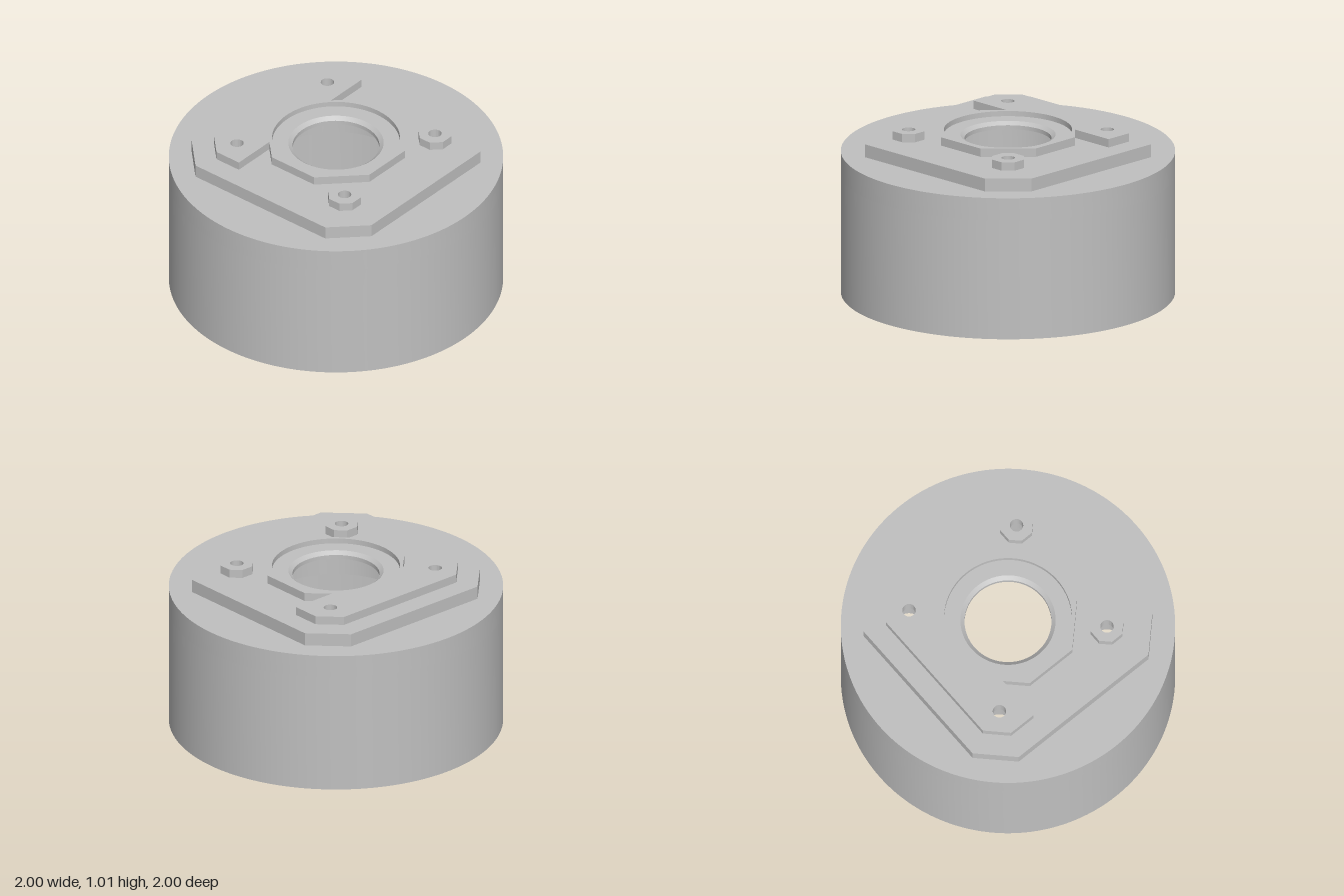
import * as THREE from 'three';
import { toCreasedNormals } from 'three/addons/utils/BufferGeometryUtils.js';

const SCREW = 0.42; // screw offset from the centre on both axes
const CORNERS = [[SCREW, SCREW], [-SCREW, SCREW], [SCREW, -SCREW], [-SCREW, -SCREW]];

const circle = (r, x = 0, y = 0, Type = THREE.Path) =>
  new Type().absarc(x, y, r, 0, Math.PI * 2, false);

const polygon = (points) => new THREE.Shape(points.map(([x, y]) => new THREE.Vector2(x, y)));

// Square of half width h whose edges end at +-c, leaving cut corners
const cutSquare = (h, c, x = 0, y = 0) => polygon(
  [[h, -c], [h, c], [c, h], [-c, h], [-h, c], [-h, -c], [-c, -h], [c, -h]]
    .map(([px, py]) => [px + x, py + y]));

export function createModel() {
  const group = new THREE.Group();
  const grey = new THREE.MeshStandardMaterial({ color: 0xc0c0c0 });
  grey.name = 'grey';

  const add = (name, geometry) => {
    const mesh = new THREE.Mesh(toCreasedNormals(geometry, 0.5), grey);
    mesh.name = name;
    group.add(mesh);
  };

  // Horizontal slab between two heights; shape y points to the back (-z)
  const slab = (name, shape, y0, y1, holes) => {
    shape.holes.push(...holes);
    const geometry = new THREE.ExtrudeGeometry(shape, {
      depth: y1 - y0, bevelEnabled: false, curveSegments: 96,
    });
    add(name, geometry.rotateX(-Math.PI / 2).translate(0, y0, 0));
  };

  const screwHoles = (r) => CORNERS.map(([x, y]) => circle(r, x, y));

  // Cup: open below, with a thick roof
  slab('cupWall', circle(1, 0, 0, THREE.Shape), 0, 0.74, [circle(0.88)]);
  slab('cupRoof', circle(1, 0, 0, THREE.Shape), 0.74, 0.88, [circle(0.46), ...screwHoles(0.08)]);

  // Raised plate: wide bores below, narrow holes above
  slab('mountingPlateLower', cutSquare(0.703, 0.507), 0.88, 0.935,
    [circle(0.46), ...screwHoles(0.08)]);
  slab('mountingPlateUpper', cutSquare(0.703, 0.507), 0.935, 0.96,
    [circle(0.26), ...screwHoles(0.04)]);

  // Octagonal collar joined to the rear pad
  const collar = polygon([
    [0.166, -0.4], [0.4, -0.166], [0.4, 0.166], [0.286, 0.28],
    [0.57, 0.28], [0.57, 0.455], [0.45, 0.575],
    [-0.45, 0.575], [-0.57, 0.455], [-0.57, 0.28],
    [-0.286, 0.28], [-0.4, 0.166], [-0.4, -0.166], [-0.166, -0.4],
  ]);
  slab('collarAndRearPad', collar, 0.96, 1.012,
    [circle(0.383), circle(0.04, SCREW, SCREW), circle(0.04, -SCREW, SCREW)]);

  // Recess floor with a chamfer into the centre hole
  add('recessFloor', new THREE.LatheGeometry(
    [[0.383, 0.98], [0.285, 0.98], [0.26, 0.96]].map(([x, y]) => new THREE.Vector2(x, y)), 96));

  // Front screw bosses
  for (const side of [1, -1]) {
    slab(side > 0 ? 'leftBoss' : 'rightBoss', cutSquare(0.095, 0.04, side * SCREW, -SCREW),
      0.96, 1.012, [circle(0.04, side * SCREW, -SCREW)]);
  }

  return group;
}
